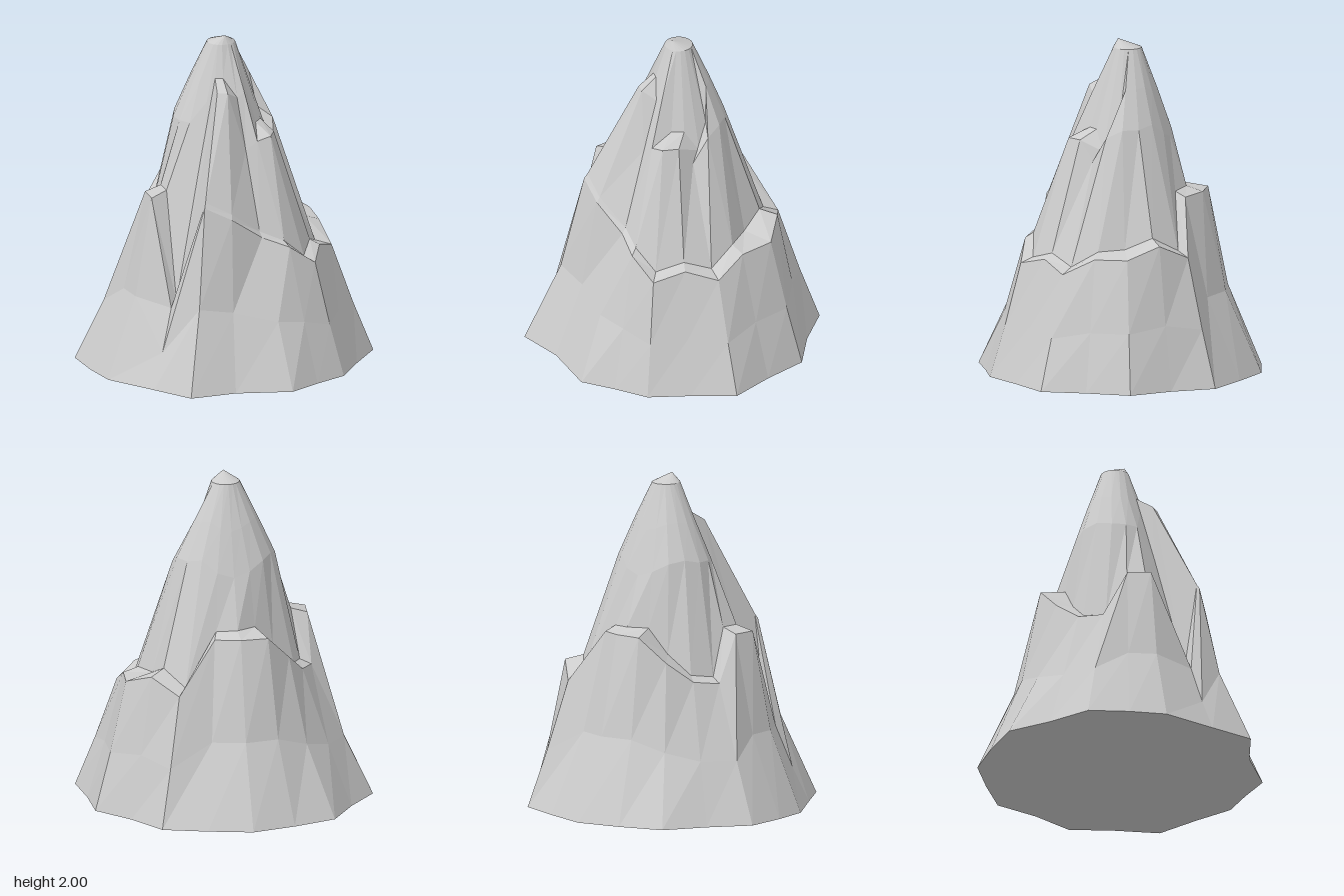
import * as THREE from 'three';

// Spokes every 18 degrees from +x towards the back (-z):
// [foot radius, ledge radius, ledge height, ledge inner radius, shoulder radius, shoulder height]
const SPOKES = [
  [0.81, 0.58, 0.73, 0.52, 0.30, 1.42],
  [0.89, 0.64, 0.67, 0.54, 0.29, 1.30],
  [0.83, 0.61, 0.77, 0.52, 0.31, 1.45],
  [0.88, 0.67, 0.78, 0.49, 0.32, 1.50],
  [0.82, 0.64, 0.85, 0.53, 0.32, 1.50],
  [0.89, 0.64, 0.76, 0.55, 0.31, 1.52],
  [0.85, 0.47, 1.08, 0.40, 0.32, 1.45],
  [0.88, 0.52, 1.09, 0.42, 0.32, 1.42],
  [0.86, 0.54, 1.09, 0.38, 0.32, 1.45],
  [0.90, 0.53, 0.94, 0.40, 0.32, 1.50],
  [0.84, 0.52, 0.82, 0.46, 0.31, 1.52],
  [0.90, 0.53, 0.80, 0.46, 0.31, 1.50],
  [0.86, 0.51, 1.08, 0.41, 0.29, 1.50],
  [0.86, 0.54, 1.08, 0.43, 0.26, 1.50],
  [0.82, 0.62, 0.46, 0.56, 0.28, 1.30],
  [0.89, 0.53, 1.08, 0.51, 0.20, 1.70],
  [0.77, 0.50, 1.00, 0.48, 0.20, 1.70],
  [0.84, 0.46, 0.86, 0.43, 0.26, 1.35],
  [0.80, 0.56, 0.80, 0.51, 0.28, 1.40],
  [0.83, 0.63, 0.68, 0.55, 0.32, 1.42],
];

// Spokes turned off the even spacing, in degrees
const TURN = { 12: -2, 13: -5, 17: 6, 18: 3 };

// Spokes with a step between shoulder and summit
const NOTCHED = [0, 1, 2, 15, 16, 19];

const SUMMIT = { r: 0.085, y: 1.95, dx: -0.035, dz: -0.045 };

// Radius of the inner summit cone at a height
const coreRadius = (y) => 0.22 - (y - 1.55) * 0.325;

// One spoke's profile from foot to summit as [radius, height, pull to the summit's axis]
function profile([foot, r1, y1, inner, r2, y2], notched) {
  const midR = THREE.MathUtils.lerp(foot, r1, 0.45) * (y1 > 0.9 ? 0.92 : 0.99);
  const neck = notched
    ? [coreRadius(y2 + 0.06), y2 + 0.06, 1]
    : [(r2 + SUMMIT.r) * 0.51, (y2 + SUMMIT.y) / 2, 0.5];
  return [
    [foot, 0, 0],
    [midR, y1 * 0.45, 0],
    [r1, y1, 0],
    [inner, y1 + 0.03, 0],
    [r2, y2, 0],
    neck,
    [SUMMIT.r, SUMMIT.y, 1],
  ];
}

export function createModel() {
  const n = SPOKES.length;
  const positions = [];
  const index = [];
  const rings = 7;

  SPOKES.forEach((spoke, j) => {
    const a = THREE.MathUtils.degToRad((j * 360) / n + (TURN[j] ?? 0));
    for (const [r, y, pull] of profile(spoke, NOTCHED.includes(j))) {
      positions.push(r * Math.cos(a) + SUMMIT.dx * pull, y, -r * Math.sin(a) + SUMMIT.dz * pull);
    }
  });
  const apex = n * rings;
  const bottom = apex + 1;
  positions.push(0, 2, 0, 0, 0, 0);

  // Slopes between neighbouring spokes, then summit and underside
  for (let j = 0; j < n; j++) {
    const a = j * rings;
    const b = ((j + 1) % n) * rings;
    for (let i = 0; i < rings - 1; i++) {
      index.push(a + i, b + i, b + i + 1, a + i, b + i + 1, a + i + 1);
    }
    index.push(a + rings - 1, b + rings - 1, apex);
    index.push(b, a, bottom);
  }

  const geometry = new THREE.BufferGeometry();
  geometry.setAttribute('position', new THREE.Float32BufferAttribute(positions, 3));
  geometry.setIndex(index);
  geometry.computeVertexNormals();

  const mountain = new THREE.Mesh(
    geometry,
    new THREE.MeshStandardMaterial({ color: 0xcccccc, flatShading: true })
  );
  mountain.name = 'mountain';

  const group = new THREE.Group();
  group.name = 'rockyPeak';
  group.add(mountain);
  return group;
}
